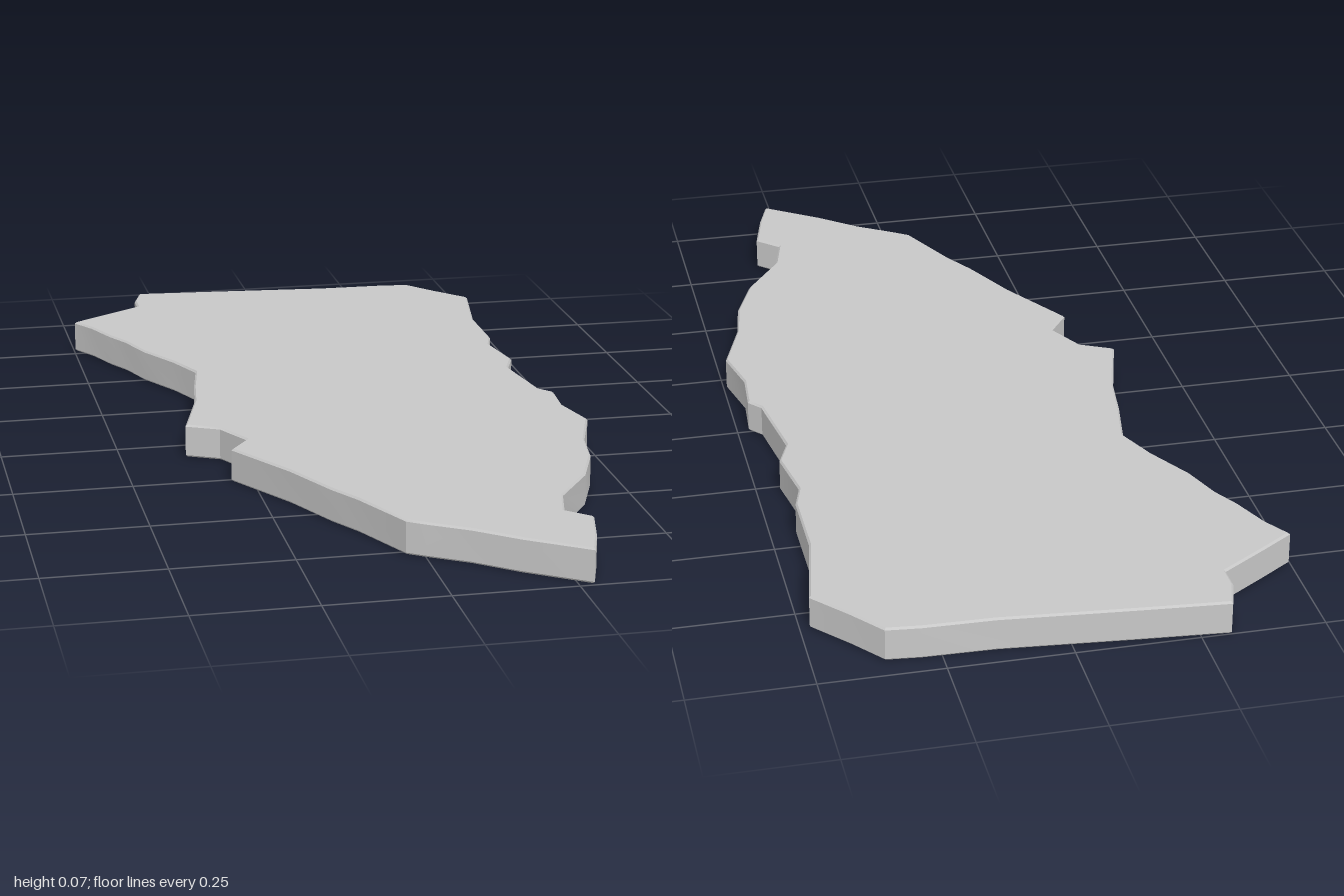
import * as THREE from 'three';
import { toCreasedNormals } from 'three/addons/utils/BufferGeometryUtils.js';

// Slab outline seen from above, as x, z pairs
const outline = [
  [-0.31, -1], [-0.13, -0.985], [0.145, -0.96], [0.29, -0.957], [0.36, -0.95], [0.415, -0.88],
  [0.48, -0.805], [0.447, -0.615], [0.447, -0.45], [0.43, -0.39], [0.45, -0.265], [0.425, -0.2],
  [0.45, -0.025], [0.475, 0.005], [0.468, 0.1], [0.493, 0.21], [0.447, 0.345], [0.43, 0.45],
  [0.385, 0.565], [0.305, 0.68], [0.283, 0.77], [0.33, 0.815], [0.305, 0.92], [0.28, 0.995],
  [0.16, 0.91], [0.077, 0.84], [0, 0.79], [-0.035, 0.765], [-0.1, 0.62], [-0.14, 0.55],
  [-0.2, 0.42], [-0.293, 0.26], [-0.25, 0.2], [-0.293, 0.115], [-0.362, 0.08], [-0.315, -0.09],
  [-0.3, -0.195], [-0.278, -0.31], [-0.315, -0.4], [-0.37, -0.5], [-0.4, -0.585], [-0.43, -0.64],
  [-0.463, -0.72], [-0.497, -0.775], [-0.43, -0.82], [-0.33, -0.885], [-0.33, -0.935],
];
const HEIGHT = 0.072;
const BEVEL = 0.004;

export function createModel() {
  const group = new THREE.Group();
  const stone = new THREE.MeshStandardMaterial({ name: 'light grey', color: 0xc8c8c8 });

  // Flat slab with a fine bevel that stays inside the outline
  const shape = new THREE.Shape(outline.map(([x, z]) => new THREE.Vector2(x, -z)));
  const geometry = new THREE.ExtrudeGeometry(shape, {
    depth: HEIGHT - 2 * BEVEL,
    bevelEnabled: true,
    bevelThickness: BEVEL,
    bevelSize: BEVEL,
    bevelOffset: -BEVEL,
    bevelSegments: 1,
  });
  geometry.rotateX(-Math.PI / 2);
  geometry.translate(0, BEVEL, 0);

  const slab = new THREE.Mesh(toCreasedNormals(geometry, 0.5), stone);
  slab.name = 'slab';
  group.add(slab);
  return group;
}
